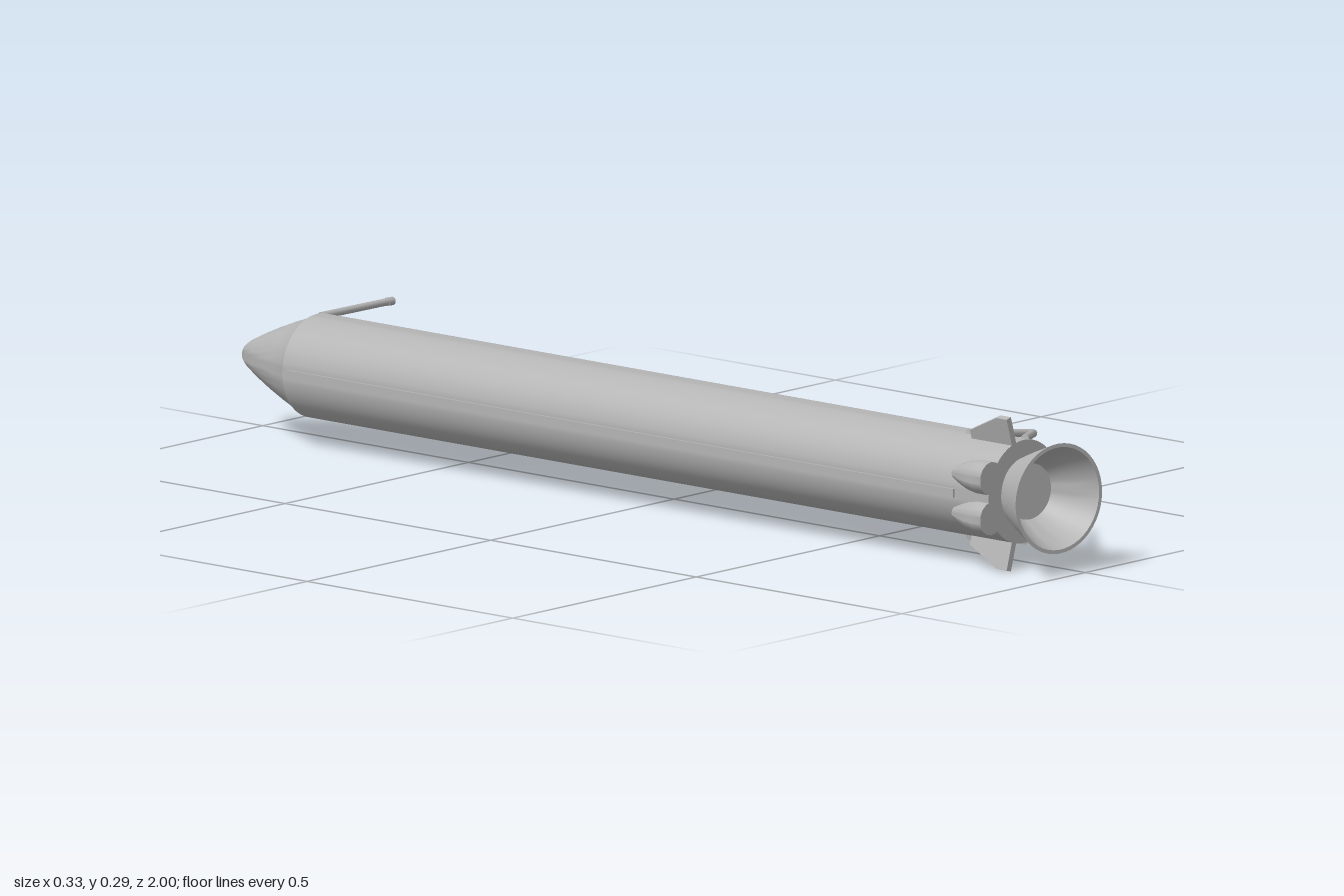
import * as THREE from 'three';
import { toCreasedNormals } from 'three/addons/utils/BufferGeometryUtils.js';

// Body axis position and radius
const CX = -0.048, CY = 0.143, R = 0.0955;

export function createModel() {
  const model = new THREE.Group();
  model.name = 'rocketStage';
  const grey = new THREE.MeshStandardMaterial({ color: 0xb4b4b4 });
  grey.name = 'grey';

  const add = (name, geometry, parent = model) => {
    const mesh = new THREE.Mesh(geometry, grey);
    mesh.name = name;
    parent.add(mesh);
    return mesh;
  };

  // Turned part along z from [radius, z] points
  const turned = (points, sides) => {
    const g = new THREE.LatheGeometry(points.map(([r, z]) => new THREE.Vector2(r, z)), sides);
    g.rotateX(Math.PI / 2);
    return toCreasedNormals(g, 0.6);
  };

  // Round bar between two points
  const bar = (name, a, b, radius, parent) => {
    const from = new THREE.Vector3(...a), to = new THREE.Vector3(...b);
    const dir = to.clone().sub(from);
    const mesh = add(name, new THREE.CylinderGeometry(radius, radius, dir.length(), 12), parent);
    mesh.position.copy(from).add(to).multiplyScalar(0.5);
    mesh.quaternion.setFromUnitVectors(new THREE.Vector3(0, 1, 0), dir.normalize());
  };

  // Main tube with closed tail
  add('body', turned([[R, -0.825], [R, 0.893], [0, 0.893]], 64)).position.set(CX, CY, 0);

  // Rounded nose with a small shoulder
  add('noseCone', turned([
    [0, -1], [0.009, -0.998], [0.018, -0.992], [0.026, -0.981], [0.042, -0.95],
    [0.06, -0.91], [0.077, -0.868], [0.09, -0.832], [R, -0.825],
  ], 64)).position.set(CX, CY, 0);

  // Slightly canted engine bell, closed at the throat
  const nozzle = add('engineNozzle', turned([
    [0.057, -0.012], [0.08, 0.04], [0.102, 0.095], [0.095, 0.095], [0.074, 0.048], [0.052, 0.01], [0, 0.01],
  ], 48));
  nozzle.position.set(-0.04, CY, 0.89);
  nozzle.rotation.y = -0.15;

  // Cable duct along the side
  add('cableDuct', new THREE.BoxGeometry(0.012, 0.016, 1.62)).position.set(CX - R + 0.002, CY, 0);

  // Fin outline: z across, distance from the axis up
  const finShape = new THREE.Shape([
    [0.795, 0.085], [0.893, 0.085], [0.893, 0.147], [0.868, 0.147], [0.795, 0.112],
  ].map(([z, r]) => new THREE.Vector2(z, r)));

  // Everything that is mirrored above and below the axis
  for (const s of [1, -1]) {
    const side = s > 0 ? 'upper' : 'lower';

    const fin = new THREE.ExtrudeGeometry(finShape, { depth: 0.012, bevelEnabled: false });
    fin.translate(0, 0, -0.006);
    fin.rotateY(-Math.PI / 2);
    fin.rotateZ(s > 0 ? 0.28 : Math.PI - 0.28);
    add(side + 'Fin', fin).position.set(CX, CY, 0);

    // Separation motor pod
    add(side + 'Pod', turned([
      [0, 0.806], [0.011, 0.806], [0.02, 0.825], [0.027, 0.845], [0.031, 0.868], [0.031, 0.893], [0, 0.893],
    ], 14)).position.set(-0.136, CY + s * 0.037, 0);

    // Rear V-shaped attachment strut
    const strut = new THREE.Group();
    strut.name = side + 'RearStrut';
    model.add(strut);
    const tip = [0.109, CY + s * 0.068, 0.776];
    bar('crossBar', [-0.066, CY + s * 0.096, 0.776], tip, 0.0075, strut);
    bar('diagonalBar', [-0.035, CY + s * 0.095, 0.884], tip, 0.0075, strut);

    // Forward attachment strut with a thicker end
    const front = new THREE.Group();
    front.name = side + 'ForwardStrut';
    model.add(front);
    bar('rod', [-0.03, CY + s * 0.088, -0.832], [0.155, CY + s * 0.0865, -0.832], 0.007, front);
    bar('rodEnd', [0.15, CY + s * 0.0865, -0.832], [0.165, CY + s * 0.086, -0.832], 0.008, front);
  }
  return model;
}
